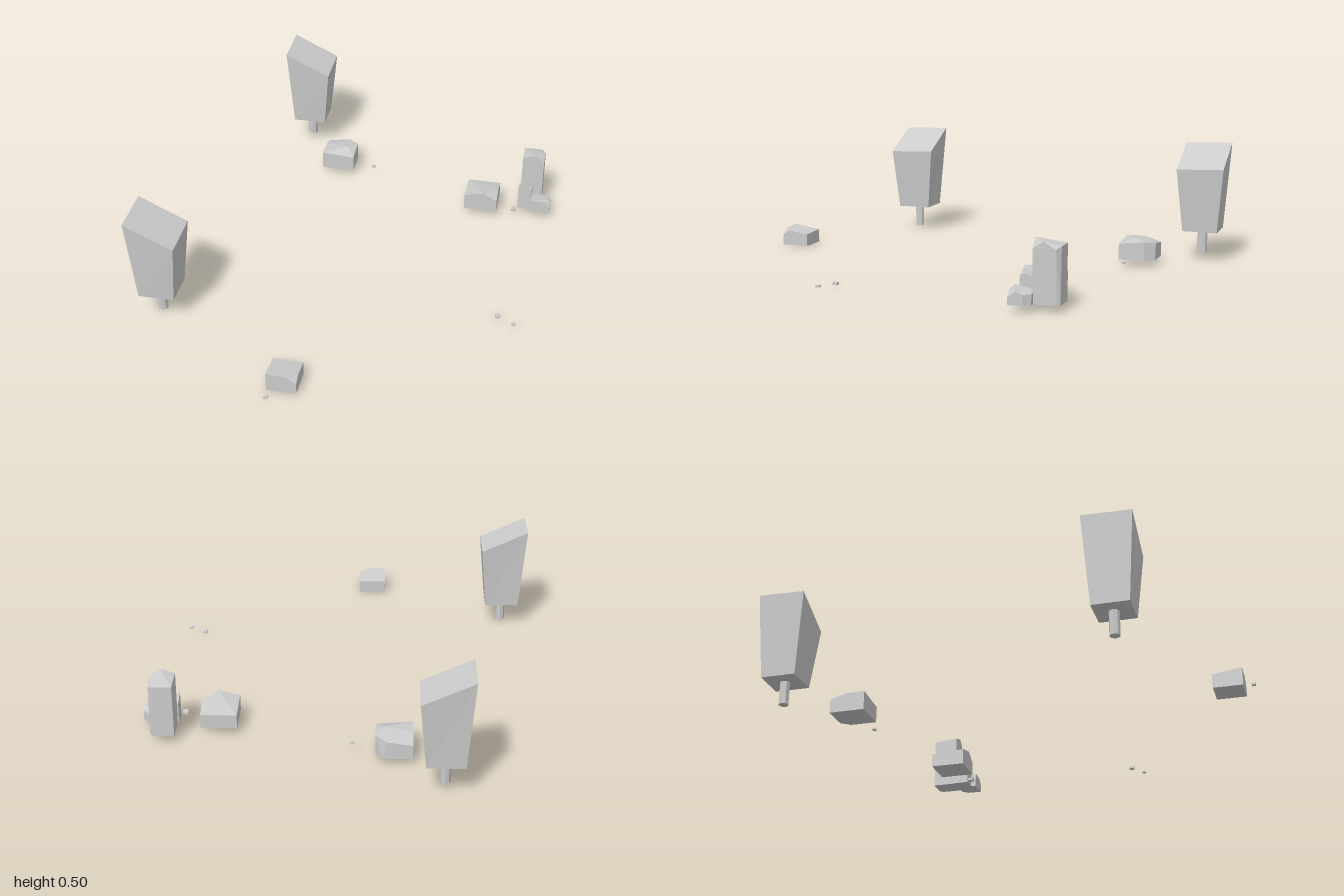
import * as THREE from 'three';
import { ConvexGeometry } from 'three/addons/geometries/ConvexGeometry.js';

const material = new THREE.MeshStandardMaterial({ color: 0xcccccc, flatShading: true });

function addMesh(parent, name, geometry) {
  const mesh = new THREE.Mesh(geometry, material);
  mesh.name = name;
  parent.add(mesh);
  return mesh;
}

// Tapered square crown with a slanted top, on a thin trunk
function tree(x, y, z) {
  const group = new THREE.Group();
  group.name = 'tree';
  const crown = new THREE.BoxGeometry(2, 1, 2);
  const p = crown.attributes.position;
  for (let i = 0; i < p.count; i++) {
    const sx = p.getX(i), sz = p.getZ(i), top = p.getY(i) > 0;
    const half = top ? 0.1 : 0.074;
    p.setXYZ(i, sx * half, top ? 0.42 - 0.047 * sx - 0.003 * sz : 0.1, sz * half);
  }
  crown.computeVertexNormals();
  addMesh(group, 'crown', crown);
  addMesh(group, 'trunk', new THREE.CylinderGeometry(0.021, 0.021, 0.11, 8)).position.y = 0.055;
  group.position.set(x, y, z);
  return group;
}

// Chipped block: top points are [u, height, v] with u and v from 0 to 1
function rock(parent, name, [x0, x1], [z0, z1], y0, top, base = [[0, 0], [1, 0], [1, 1], [0, 1]]) {
  const point = (u, y, v) => new THREE.Vector3(x0 + (x1 - x0) * u, y, z0 + (z1 - z0) * v);
  const points = [...base.map(([u, v]) => point(u, y0, v)), ...top.map(([u, y, v]) => point(u, y, v))];
  addMesh(parent, name, new ConvexGeometry(points));
}

export function createModel() {
  const model = new THREE.Group();
  model.name = 'treesAndRocks';

  model.add(tree(-0.7, 0.01, 0.55), tree(-0.4, 0.03, -0.9));

  // Lone rocks, each with one broken corner
  rock(model, 'backRock', [-0.283, -0.137], [-0.745, -0.595], 0.026,
    [[0, 0.085, 0], [0.7, 0.1, 0], [1, 0.107, 0.28], [0.75, 0.116, 0.6], [1, 0.095, 1], [0, 0.107, 1], [0, 0.107, 0.45]],
    [[0, 0], [0.8, 0], [1, 0.25], [1, 1], [0, 1]]);
  rock(model, 'frontRock', [-0.16, -0.04], [0.83, 0.95], 0.004,
    [[0, 0.062, 0], [1, 0.058, 0], [1, 0.07, 0.75], [1, 0.05, 1], [0.7, 0.077, 1], [0, 0.08, 1]]);
  rock(model, 'leftRock', [0.418, 0.564], [-0.535, -0.387], 0.026,
    [[0, 0.085, 0], [1, 0.085, 0], [1, 0.107, 0.6], [1, 0.08, 1], [0.6, 0.116, 1], [0, 0.096, 1]]);

  // Cluster around the standing stone
  const cluster = new THREE.Group();
  cluster.name = 'rockCluster';
  rock(cluster, 'standingStone', [0.66, 0.756], [-0.605, -0.5], 0.026,
    [[0, 0.245, 0], [0.8, 0.245, 0], [1, 0.235, 0.15], [1, 0.262, 0.6], [1, 0.235, 1], [0.6, 0.271, 1], [0, 0.254, 1]],
    [[0, 0], [0.9, 0], [1, 0.15], [1, 1], [0, 1]]);
  rock(cluster, 'shortStone', [0.655, 0.714], [-0.503, -0.44], 0.026,
    [[0, 0.114, 0], [1, 0.114, 0], [1, 0.132, 0.7], [1, 0.125, 1], [0.7, 0.14, 1], [0, 0.138, 1]]);
  rock(cluster, 'lowStone', [0.714, 0.8], [-0.503, -0.418], 0.026,
    [[0, 0.07, 0], [0.7, 0.068, 0], [1, 0.068, 0.3], [1, 0.08, 0.65], [1, 0.055, 1], [0.7, 0.082, 1], [0, 0.087, 1]],
    [[0, 0], [0.75, 0], [1, 0.28], [1, 1], [0, 1]]);
  model.add(cluster);

  // Scattered pebbles: x, base height, z, width
  const pebbles = [
    [0.64, 0.024, -0.418, 0.023],
    [-0.047, 0.03, -0.638, 0.016],
    [0.658, 0.012, 0.345, 0.021],
    [0.727, 0.014, 0.387, 0.016],
    [-0.15, 0, 0.99, 0.016],
  ];
  for (const [x, y, z, w] of pebbles) {
    const h = w * 0.55;
    rock(model, 'pebble', [x - w / 2, x + w / 2], [z - w / 2, z + w / 2], y,
      [[0, y + h * 0.8, 0], [1, y + h * 0.75, 0], [1, y + h * 0.9, 0.7], [1, y + h * 0.6, 1], [0.7, y + h, 1], [0, y + h, 1]]);
  }
  return model;
}
